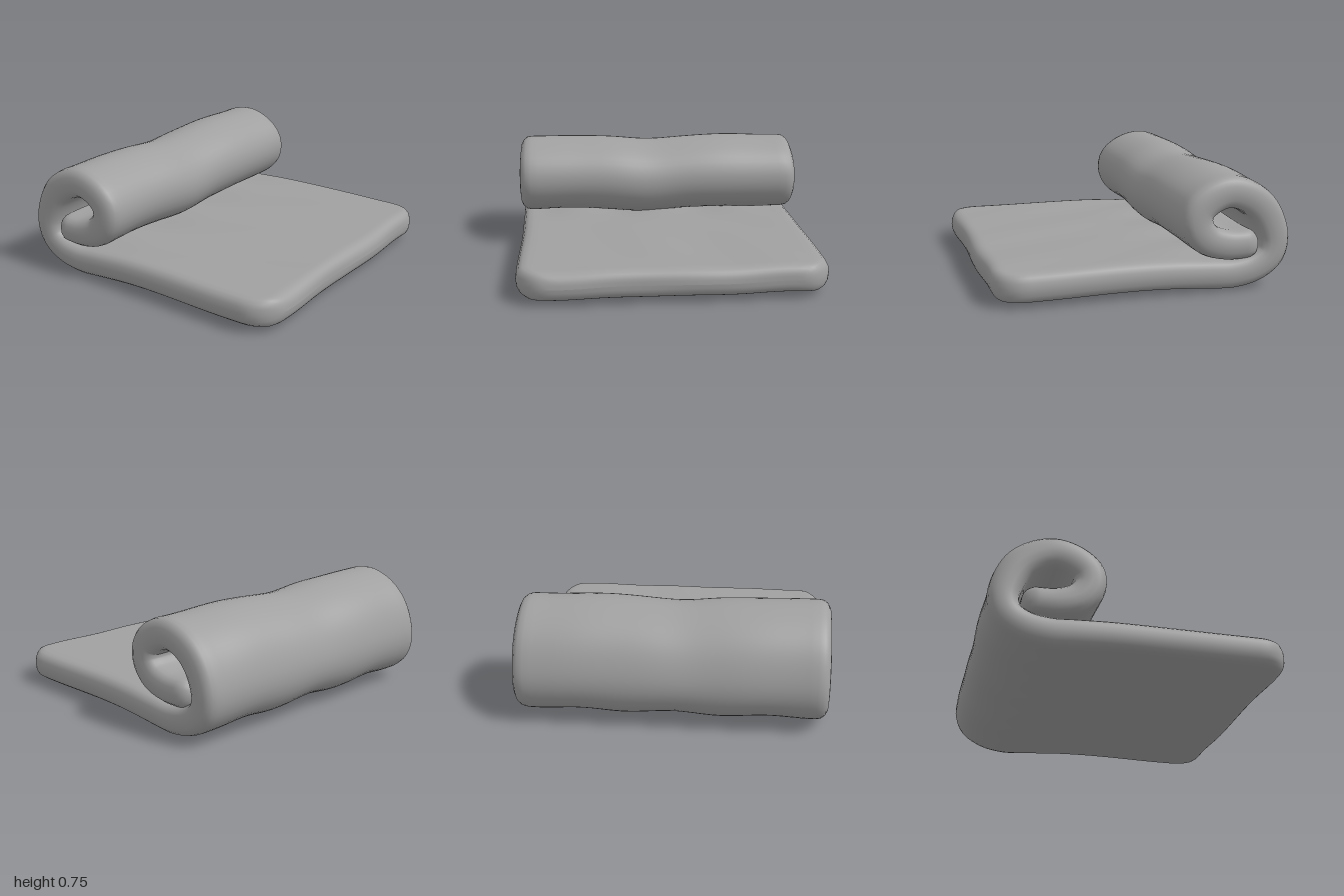
import * as THREE from 'three';

// Centre line of the mat as [z, y], from the flat front edge to the end inside the roll
const SPINE = [
  [0.95, 0.127], [0.6, 0.127], [0.2, 0.127], [-0.2, 0.123], [-0.42, 0.115], [-0.58, 0.11],
  [-0.73, 0.14], [-0.825, 0.205], [-0.857, 0.3], [-0.83, 0.43], [-0.765, 0.54],
  [-0.66, 0.615], [-0.54, 0.643], [-0.42, 0.605], [-0.34, 0.53], [-0.335, 0.435],
  [-0.4, 0.35], [-0.52, 0.306], [-0.65, 0.3], [-0.745, 0.308],
];
const EDGE = 0.08; // rounding of the long side edges

// Rounded-off fraction 0..1 at distance d from an end, over length r
function roundOff(d, r, power) {
  const q = Math.max(0, 1 - d / r);
  return Math.pow(Math.max(0, 1 - Math.pow(q, power)), 1 / power);
}

// Cross-section ring: k scales the straight width, ex bulges the side, n is the thickness direction
function makeRing() {
  const ring = [];
  const arc = 8, across = 36;
  for (const side of [1, -1]) {
    for (let i = 0; i <= arc; i++) {
      const a = -Math.PI / 2 + (Math.PI * i) / arc;
      const c = Math.pow(Math.max(0, Math.cos(a)), 0.85);
      const s = Math.sign(Math.sin(a)) * Math.pow(Math.abs(Math.sin(a)), 0.85);
      ring.push({ k: side, ex: side * c, n: side * s });
    }
    for (let i = 1; i < across; i++) ring.push({ k: side * (1 - (2 * i) / across), ex: 0, n: side });
  }
  return ring;
}

// Soft hand-made unevenness: waves under the bend, a dip along the roll, a faint ripple elsewhere
function wobble(x, s, rolled) {
  const wave = Math.cos((2 * Math.PI * (x - 0.29)) / 0.57);
  const bend = Math.exp(-Math.pow((s - 1.5) / 0.3, 2));
  const dip = -0.028 * Math.exp(-Math.pow((x + 0.08) / 0.22, 2)) - 0.011 * x - 0.004;
  return {
    dy: rolled * dip - 0.011 * bend * wave,
    dn: 0.005 * Math.cos(9 * x + 2 * s) * Math.sin(s * 3 + x * 1.5),
  };
}

function matGeometry() {
  const curve = new THREE.CatmullRomCurve3(SPINE.map(([z, y]) => new THREE.Vector3(0, y, z)), false, 'centripetal');
  curve.arcLengthDivisions = 800;
  const length = curve.getLength();
  const ring = makeRing();

  // Stations along the mat, closer together at both rounded ends
  const stations = [];
  for (let i = 0; i < 12; i++) stations.push(0.2 * Math.pow(i / 12, 2));
  for (let i = 0; i <= 110; i++) stations.push(0.2 + ((length - 0.3) * i) / 110);
  for (let i = 9; i >= 0; i--) stations.push(length - 0.1 * Math.pow(i / 10, 2));

  const positions = [], indices = [];
  stations.forEach((s, i) => {
    const u = Math.min(1, s / length);
    const p = curve.getPointAt(u), t = curve.getTangentAt(u);
    const end = Math.max(0, length - s);
    const rolled = THREE.MathUtils.smoothstep(s, 1.7, 2.2);
    const inner = THREE.MathUtils.smoothstep(end, 0, 0.5);
    const thick = (0.093 + 0.009 * rolled - 0.012 * (1 - inner))
      * roundOff(s, 0.09, 2.5) * roundOff(end, 0.08, 2.5);
    const width = 0.985 + 0.008 * rolled - 0.2 * (1 - roundOff(s, 0.2, 2))
      - 0.08 * (1 - roundOff(end, 0.1, 2)) + 0.005 * Math.sin(s * 5);
    for (const { k, ex, n } of ring) {
      const x = k * (width - EDGE) + ex * EDGE;
      const w = wobble(x, s, rolled);
      const off = n * thick + w.dn;
      const frontWave = 0.008 * Math.sin(x * 7) * (1 - roundOff(s, 0.3, 2));
      positions.push(x, p.y - t.z * off + w.dy, p.z + t.y * off + frontWave);
    }
    if (i === 0) return;
    for (let j = 0; j < ring.length; j++) {
      const m = (j + 1) % ring.length;
      const a = (i - 1) * ring.length + j, d = (i - 1) * ring.length + m;
      const b = i * ring.length + j, c = i * ring.length + m;
      indices.push(a, b, c, a, c, d);
    }
  });

  const geometry = new THREE.BufferGeometry();
  geometry.setAttribute('position', new THREE.Float32BufferAttribute(positions, 3));
  geometry.setIndex(indices);
  geometry.computeVertexNormals();
  return geometry;
}

export function createModel() {
  const group = new THREE.Group();
  group.name = 'rolledMat';
  // One thick padded sheet, flat in front and curled into a roll at the back
  const mat = new THREE.Mesh(matGeometry(), new THREE.MeshStandardMaterial({ color: 0xa0a0a0 }));
  mat.name = 'paddedMat';
  group.add(mat);
  return group;
}
